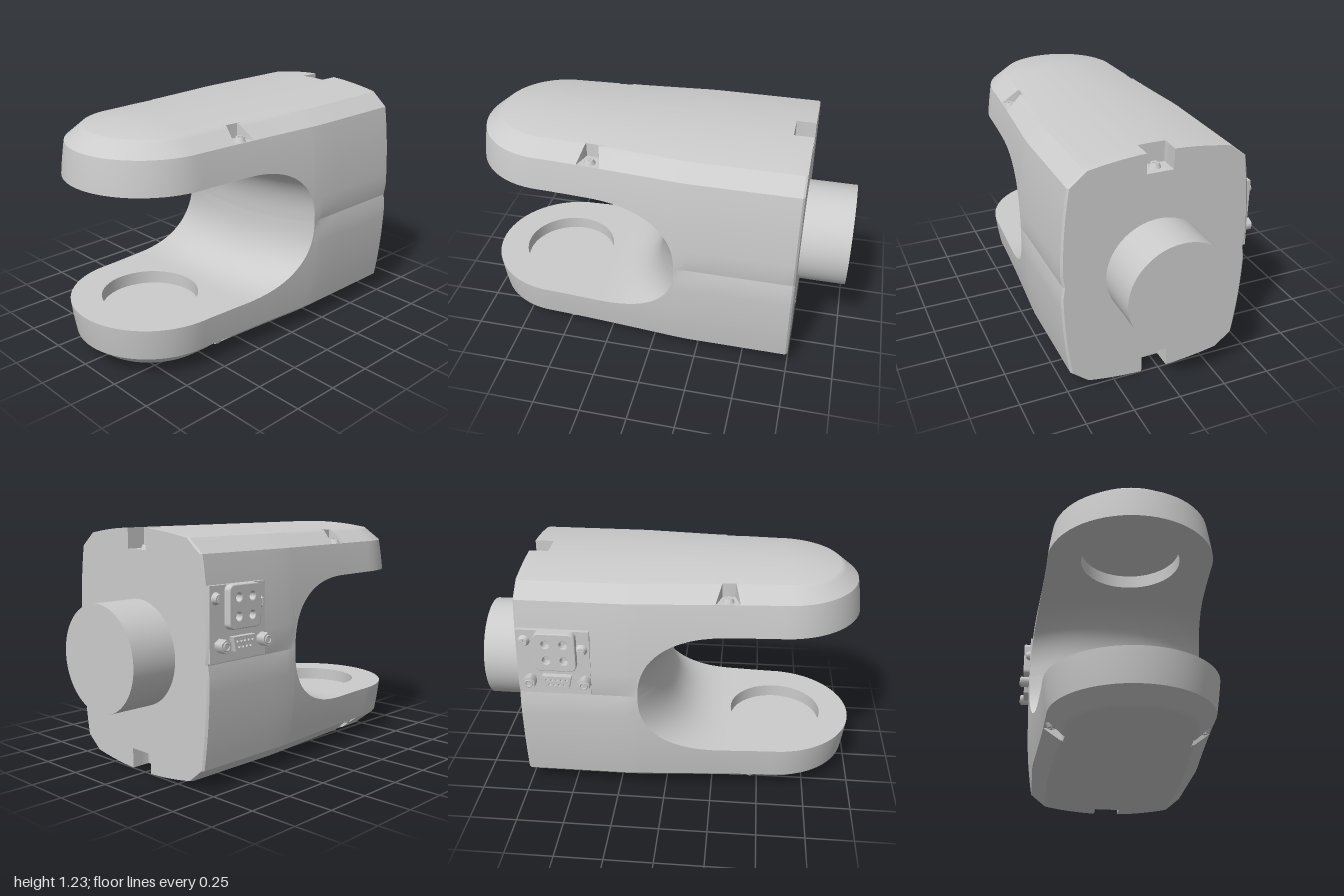
import * as THREE from 'three';
import { toCreasedNormals } from 'three/addons/utils/BufferGeometryUtils.js';

const mat = new THREE.MeshStandardMaterial({ color: 0xcccccc });
const thin = new THREE.MeshStandardMaterial({ color: 0xcccccc, side: THREE.DoubleSide });
const NOSE = -0.575, RIM = -0.33, END = 0.135, ARM = 0.34, N = 2.4;

// half width of the housing in plan, and inset of its side with height above the seam
const width = x => 0.441 + 0.054 * THREE.MathUtils.clamp((x - NOSE) / 0.75, 0, 1) ** 1.2;
const inset = h => 0.04 * (h / 0.51) ** 2.2;
// height of the fork opening along the side face
const openU = x => THREE.MathUtils.clamp((x - RIM) / (END - RIM), 0, 1);
const openH = x => ARM * Math.max(0, 1 - openU(x) ** N) ** (1 / N);

function grid(ni, nj, f) {
  const pos = [], idx = [];
  for (let i = 0; i < ni; i++) for (let j = 0; j < nj; j++) {
    pos.push(...f(i, j));
    if (i < ni - 1 && j < nj - 1) {
      const a = i * nj + j, b = a + nj;
      idx.push(a, a + 1, b, a + 1, b + 1, b);
    }
  }
  const g = new THREE.BufferGeometry();
  g.setAttribute('position', new THREE.Float32BufferAttribute(pos, 3));
  g.setIndex(idx);
  return toCreasedNormals(g, 0.5);
}

function add(parent, name, geo, x = 0, y = 0, z = 0, m = mat) {
  const mesh = new THREE.Mesh(geo, m);
  mesh.name = name;
  mesh.position.set(x, y, z);
  parent.add(mesh);
  return mesh;
}

// cross-head screw standing on y = 0
function screw(parent, x, y, z) {
  const g = new THREE.Group();
  g.name = 'screw';
  g.position.set(x, y, z);
  add(g, 'screwHead', new THREE.CylinderGeometry(0.02, 0.03, 0.022, 20), 0, 0.011, 0);
  for (const r of [0, Math.PI / 2])
    add(g, 'screwCross', new THREE.BoxGeometry(0.028, 0.004, 0.006), 0, 0.023, 0).rotation.y = r;
  parent.add(g);
  return g;
}

// one half of the housing above the seam; px is the x of its side screw pockets
function housingHalf(name, px) {
  const half = new THREE.Group();
  half.name = name;

  // columns along the plan outline
  const xs = [0.75, 0.74, 0.7, 0.651, 0.649, 0.5, 0.32, 0.2];
  for (let k = 0; k <= 20; k++) xs.push(RIM + (END - RIM) * Math.sin(k / 20 * Math.PI / 2));
  for (const d of [0.062, 0.06, 0]) xs.push(px + d, px - d - 1e-5);
  xs.push(-0.53, -0.4);
  xs.sort((a, b) => b - a);
  const cols = xs.map(x => ({ x, dx: 0, dz: 1 }));
  for (let k = 0; k <= 32; k++) {
    const a = k / 32 * Math.PI;
    cols.push({ x: NOSE, dx: -Math.sin(a), dz: Math.cos(a) });
  }
  [...xs].reverse().forEach(x => cols.push({ x, dx: 0, dz: -1 }));

  // levels: side wall, chamfer, crown
  const SIDE = 9, CHAMFER = [0.0405, 0.06, 0.085, 0.11, 0.125, 0.134, 0.136], CROWN = 6;
  const LEVELS = SIDE + CHAMFER.length + CROWN + 2;
  function point(c, j) {
    const w = width(c.x) - (c.x > 0.745 ? 0.01 : 0);
    let h, r, x = c.x;
    if (j < SIDE) {
      const h0 = openH(x);
      h = h0 + (0.51 - h0) * j / (SIDE - 1);
      r = w - inset(h) - (h < 0.001 && x > 0.14 ? 0.01 : 0);
    } else {
      const k = j - SIDE - CHAMFER.length;
      if (k < 0) r = w - CHAMFER[k + CHAMFER.length];
      else if (k < CROWN) r = w - 0.136 + (0.0705 - w + 0.136) * (k + 1) / CROWN;
      else r = k === CROWN ? 0.0695 : 0;
      const d = w - r;
      h = d < 0.125 ? 0.51 + 0.07 * (d - 0.04) / 0.085
        : 0.58 + 0.035 * (1 - (r / (w - 0.125)) ** 2);
      // screw pockets
      const off = x - px;
      if (Math.abs(off) < 0.0625 && d < 0.135) {
        if (Math.abs(off) < 0.061) h = 0.51;
        x = px + off * (1 - 5 * (d - 0.04));
      }
      if (c.x > 0.65 && r < 0.07) h = 0.51;
    }
    return [x + c.dx * r, h, c.dz * r];
  }
  add(half, 'housingShell', grid(cols.length, LEVELS, (i, j) => point(cols[i], j)));

  // flat end face, notched by the end pocket
  const sec = [];
  for (let j = 0; j < LEVELS; j++) {
    const p = point(cols[0], j);
    sec.push(new THREE.Vector2(-p[2], p[1]));
  }
  const other = sec.slice(0, -1).reverse().map(p => new THREE.Vector2(-p.x, p.y));
  add(half, 'endFace', new THREE.ShapeGeometry(new THREE.Shape([...sec, ...other]))
    .rotateY(Math.PI / 2), 0.75, 0, 0);

  // curved throat of the fork
  const throat = xs.filter(x => x >= RIM - 1e-9 && x <= END + 1e-9), T = 41;
  add(half, 'forkThroat', grid(throat.length, T, (i, j) => {
    const t = j / (T - 1) * 2 - 1, u = openU(throat[i]), h = openH(throat[i]);
    return [RIM + u * (-RIM + END * Math.abs(t) ** 2.5), h, t * (width(throat[i]) - inset(h))];
  }));

  // inner arm face with a round recess
  const outline = cols.filter(c => c.x <= RIM + 1e-9).map(c => {
    const r = width(c.x) - inset(ARM);
    return new THREE.Vector2(c.x + c.dx * r, c.dz * r);
  });
  const face = new THREE.Shape(outline), R = 0.252, cx = -0.59;
  face.holes.push(new THREE.Path().absarc(cx, 0, R, 0, Math.PI * 2));
  add(half, 'armFace', new THREE.ShapeGeometry(face, 24).rotateX(Math.PI / 2), 0, ARM, 0, thin);
  add(half, 'recessWall', new THREE.CylinderGeometry(R, R, 0.07, 48, 1, true), cx, ARM + 0.035, 0, thin);
  add(half, 'recessFloor', new THREE.CircleGeometry(R, 48).rotateX(Math.PI / 2), cx, ARM + 0.07, 0);

  for (const s of [-1, 1]) screw(half, px, 0.51, s * (width(px) - 0.075));
  screw(half, 0.69, 0.51, 0);
  return half;
}

// connector panel on the back; local +z points out of the panel
function connectorPanel() {
  const g = new THREE.Group();
  g.name = 'connectorPanel';
  add(g, 'panelPlate', new THREE.BoxGeometry(0.37, 0.36, 0.04), 0, 0, -0.02);

  const b = 0.1, c = 0.025, block = new THREE.Shape();
  block.moveTo(-b + c, -b);
  for (const [x, y, a] of [[b - c, -b + c, -1], [b - c, b - c, 0], [-b + c, b - c, 1], [-b + c, -b + c, 2]])
    block.absarc(x, y, c, a * Math.PI / 2, (a + 1) * Math.PI / 2);
  for (const x of [-0.045, 0.045]) for (const y of [-0.045, 0.045])
    block.holes.push(new THREE.Path().absarc(x, y, 0.024, 0, Math.PI * 2));
  add(g, 'socketBlock', new THREE.ExtrudeGeometry(block, {
    depth: 0.032, bevelEnabled: true, bevelSize: 0.005, bevelThickness: 0.005, bevelSegments: 2, curveSegments: 10,
  }), 0.015, 0.075, 0);

  // pin connector with two rows of holes
  const plug = new THREE.Shape([[-0.075, 0.035], [-0.06, -0.035], [0.06, -0.035], [0.075, 0.035]]
    .map(p => new THREE.Vector2(...p)));
  for (let k = 0; k < 9; k++) {
    const top = k < 5;
    plug.holes.push(new THREE.Path().absarc(
      top ? (k - 2) * 0.025 : (k - 6.5) * 0.025, top ? 0.014 : -0.014, 0.007, 0, Math.PI * 2));
  }
  add(g, 'pinConnector', new THREE.ExtrudeGeometry(plug, { depth: 0.03, bevelEnabled: false, curveSegments: 5 }),
    0.015, -0.1, 0);
  for (const x of [-0.125, 0.155]) {
    add(g, 'hexStandoff', new THREE.CylinderGeometry(0.034, 0.034, 0.05, 6).rotateX(Math.PI / 2), x, -0.1, 0.025);
    add(g, 'standoffRing', new THREE.TorusGeometry(0.018, 0.005, 8, 20), x, -0.1, 0.05);
  }
  for (const [x, y] of [[-0.145, 0.12], [0.145, 0.08]]) screw(g, x, y, 0).rotation.x = Math.PI / 2;
  return g;
}

export function createModel() {
  const model = new THREE.Group();
  model.name = 'forkedWristJoint';
  const joint = new THREE.Group();
  joint.name = 'joint';
  joint.position.set(0, 0.617, 0.025);
  model.add(joint);

  joint.add(housingHalf('upperHousing', -0.31));
  const lower = housingHalf('lowerHousing', -0.46);
  lower.rotation.x = Math.PI;
  joint.add(lower);

  add(joint, 'shaft', new THREE.CylinderGeometry(0.268, 0.268, 0.27, 64).rotateZ(Math.PI / 2), 0.865, 0, 0);

  const panel = connectorPanel();
  panel.position.set(0.555, 0.188, -0.497);
  panel.rotation.y = Math.PI;
  joint.add(panel);
  return model;
}
